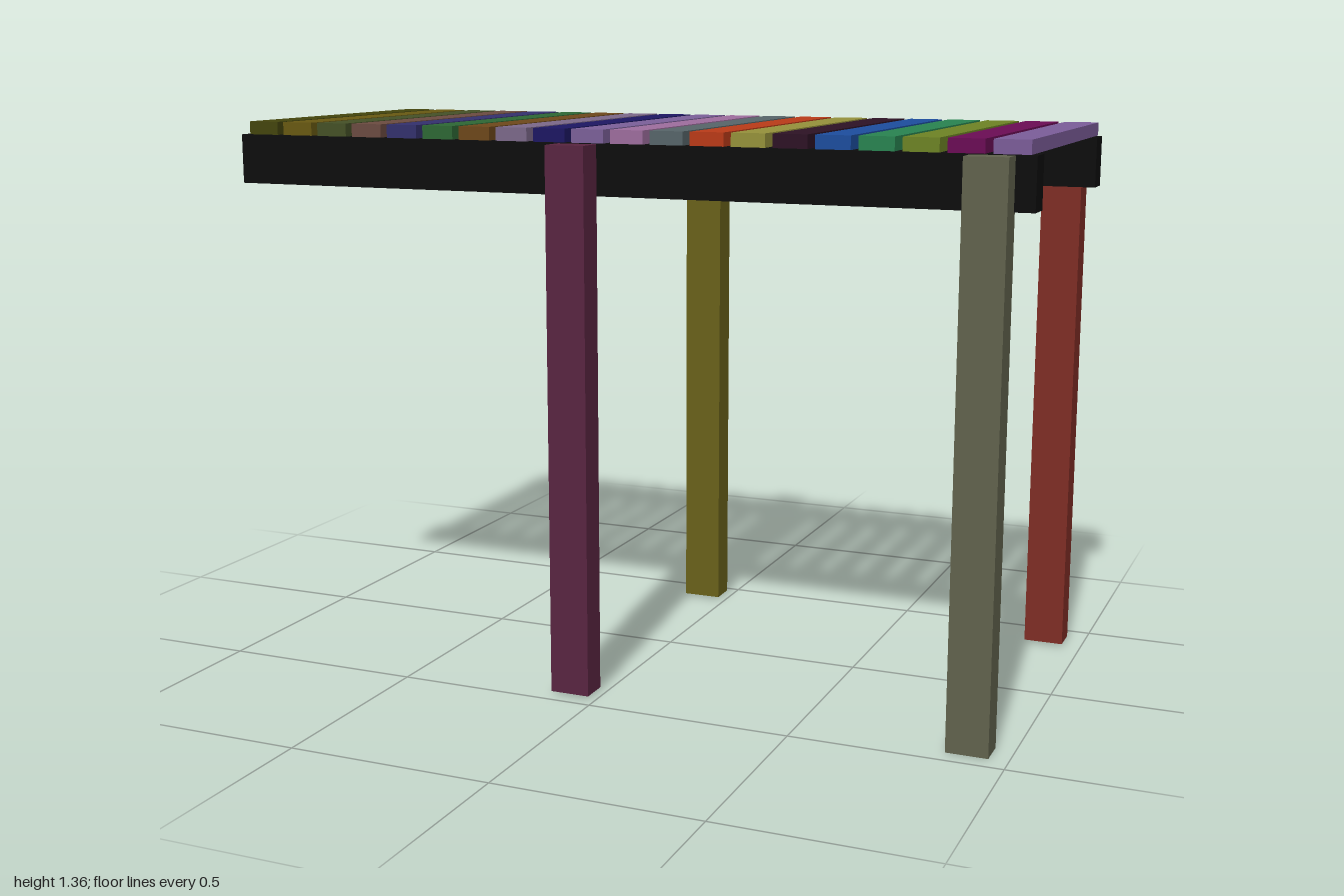
import * as THREE from 'three';

// Box given by its minimum and maximum corners
function block(name, color, [x0, y0, z0], [x1, y1, z1]) {
  const mesh = new THREE.Mesh(
    new THREE.BoxGeometry(x1 - x0, y1 - y0, z1 - z0),
    new THREE.MeshStandardMaterial({ color })
  );
  mesh.position.set((x0 + x1) / 2, (y0 + y1) / 2, (z0 + z1) / 2);
  mesh.name = name;
  return mesh;
}

export function createModel() {
  const table = new THREE.Group();
  table.name = 'slattedTable';

  // Slats across the top, from right (-x) to left (+x)
  const slatColors = [
    0x43440d, 0x675812, 0x445026, 0x6a4a40, 0x33306c, 0x2c6634, 0x6c471a,
    0x7a6788, 0x1c1662, 0x7a5f98, 0x9c6c9c, 0x566468, 0xb83a18, 0x94903a,
    0x2c1224, 0x1c4c9c, 0x288250, 0x6c8224, 0x6a0c54, 0x7a5c98,
  ];
  const slats = new THREE.Group();
  slats.name = 'slats';
  slatColors.forEach((color, i) => {
    const x = -0.943 + i * 0.0993;
    slats.add(block('slat', color, [x - 0.041, 1.323, -0.393], [x + 0.041, 1.355, 0.38]));
  });
  table.add(slats);

  // Long rails under the slats
  table.add(
    block('frontRail', 0x0d0d0d, [-1, 1.202, 0.325], [1, 1.323, 0.393]),
    block('backRail', 0x0d0d0d, [-1, 1.202, -0.362], [1, 1.323, -0.295])
  );

  // Legs fixed to the outer faces of the rails
  table.add(
    block('frontMiddleLeg', 0x582440, [-0.118, 0.006, 0.393], [-0.02, 1.322, 0.463]),
    block('frontLeftLeg', 0x60624c, [0.856, 0, 0.384], [0.954, 1.322, 0.455]),
    block('backMiddleLeg', 0x68601a, [-0.118, 0.006, -0.463], [-0.02, 1.322, -0.393]),
    block('backLeftLeg', 0x7e2c24, [0.856, 0.006, -0.437], [0.954, 1.322, -0.365])
  );

  return table;
}
